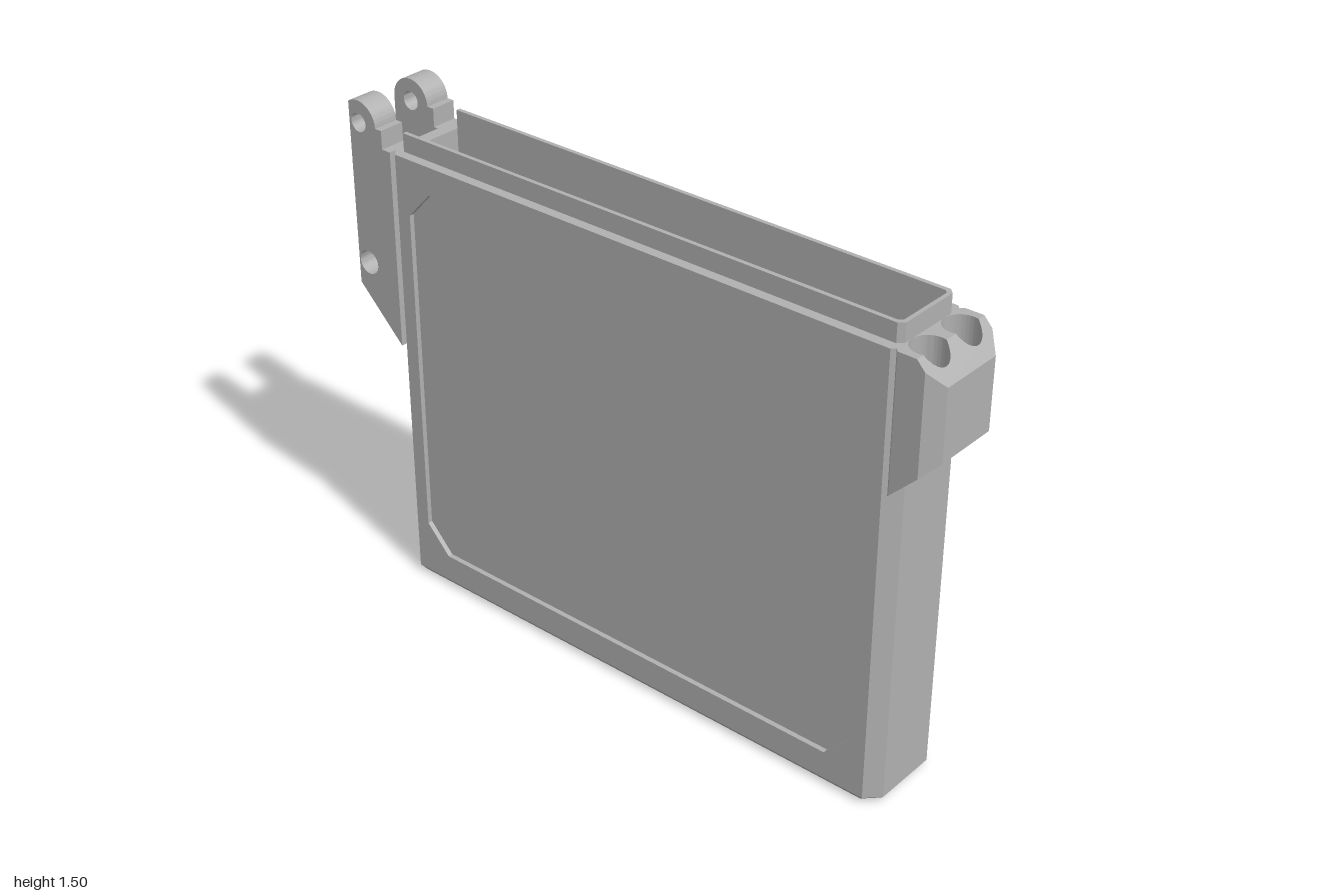
import * as THREE from 'three';
import { toCreasedNormals } from 'three/addons/utils/BufferGeometryUtils.js';

const poly = (pts) => new THREE.Shape(pts.map(([x, y]) => new THREE.Vector2(x, y)));
const circle = (x, y, r) => new THREE.Path().absarc(x, y, r, 0, Math.PI * 2, true);

export function createModel() {
  const group = new THREE.Group();
  const grey = new THREE.MeshStandardMaterial({ color: 0xb0b0b0 });

  function add(name, geo, warp) {
    const p = geo.attributes.position;
    const v = new THREE.Vector3();
    if (warp) {
      for (let i = 0; i < p.count; i++) {
        v.fromBufferAttribute(p, i);
        warp(v);
        p.setXYZ(i, v.x, v.y, v.z);
      }
    }
    const mesh = new THREE.Mesh(toCreasedNormals(geo, 0.5), grey);
    mesh.name = name;
    group.add(mesh);
  }
  const extrude = (shape, depth) =>
    new THREE.ExtrudeGeometry(shape, { depth, bevelEnabled: false, curveSegments: 18 });
  // upright: plan outline (x, z) raised from y0 to y1; slab: front outline from z0 to z1
  const upright = (name, shape, y0, y1, warp) =>
    add(name, extrude(shape, y1 - y0).rotateX(-Math.PI / 2).translate(0, y0, 0), warp);
  const slab = (name, shape, z0, z1, warp) =>
    add(name, extrude(shape, z1 - z0).translate(0, 0, z0), warp);
  // plan outline mirrored across z = 0, given its z > 0 half from left to right
  const mirrored = (half) =>
    poly([...half.map(([x, z]) => [x, -z]), ...half.slice().reverse()]);

  // Base with a chamfered bottom edge; its top is the floor of the cavity
  upright('base', mirrored([[-0.83, 0.1], [-0.795, 0.14], [0.86, 0.14], [0.9, 0.1]]), 0, 0.02, (v) => {
    if (v.y < 0.01) {
      v.x -= Math.sign(v.x) * 0.015;
      v.z -= Math.sign(v.z) * 0.015;
    }
  });

  // Hollow body, shorter at the top where the catch sockets sit
  const lowerWall = mirrored([[-0.83, 0.1], [-0.808, 0.125], [0.875, 0.125], [0.9, 0.1]]);
  const upperWall = mirrored([[-0.83, 0.1], [-0.808, 0.125], [0.868, 0.125]]);
  for (const wall of [lowerWall, upperWall])
    wall.holes.push(mirrored([[-0.79, 0.097], [0.858, 0.097]]));
  upright('lowerBody', lowerWall, 0.02, 1.2);
  upright('upperBody', upperWall, 1.2, 1.38);

  // Raised frames around the recessed panels, the back one turned around
  const panel = [[-0.75, 0.19], [-0.67, 0.105], [0.73, 0.105], [0.81, 0.19], [0.81, 1.16],
    [0.76, 1.21], [0.195, 1.21], [0.11, 1.295], [-0.67, 1.295], [-0.75, 1.21]];
  for (const side of [1, -1]) {
    const frame = poly([[-0.795, 0.02], [0.86, 0.02], [0.86, 1.38], [-0.795, 1.38]]);
    frame.holes.push(poly(side > 0 ? panel : panel.map(([x, y]) => [0.06 - x, y])));
    const z0 = side > 0 ? 0.125 : -0.14;
    slab(side > 0 ? 'frontFrame' : 'backFrame', frame, z0, z0 + 0.015, (v) => {
      if (Math.abs(v.z) > 0.13) return;
      if (v.x < -0.79) v.x = -0.808;
      if (v.x > 0.85) v.x = 0.875;
    });
  }

  // Thin rim around the opening, open at the hinge end
  upright('rim', poly([[-0.79, -0.11], [0.855, -0.11], [0.87, -0.095], [0.87, 0.095], [0.855, 0.11],
    [-0.79, 0.11], [-0.79, 0.097], [0.848, 0.097], [0.858, 0.087], [0.858, -0.087],
    [0.848, -0.097], [-0.79, -0.097]]), 1.38, 1.435);

  // Hinge: two rounded lugs with chamfered outer edges, joined by a lower block
  const lug = poly([[-1, 0.93], [-0.815, 0.775], [-0.815, 1.38], [-0.845, 1.38], [-0.845, 1.435]]);
  lug.absarc(-0.934, 1.435, 0.066, 0, Math.PI, false);
  lug.holes.push(circle(-0.934, 1.435, 0.028), circle(-0.93, 1.005, 0.036));
  const chamfer = (v) => {
    if (Math.abs(v.z) > 0.13) v.x = Math.max(v.x, -0.97);
  };
  slab('frontLug', lug, 0.06, 0.105);
  slab('frontLugEdge', lug, 0.105, 0.14, chamfer);
  slab('backLug', lug, -0.105, -0.06);
  slab('backLugEdge', lug, -0.14, -0.105, chamfer);
  const block = poly([[-1, 0.93], [-0.815, 0.775], [-0.815, 1.23], [-1, 1.23]]);
  block.holes.push(circle(-0.93, 1.005, 0.036));
  slab('hingeBlock', block, -0.06, 0.06);

  // Catch: solid lower part with a sloped underside
  upright('catchLower', mirrored([[0.862, 0.12], [0.88, 0.14], [0.96, 0.14], [1, 0.1]]), 0.98, 1.2, (v) => {
    if (v.y < 1) v.y = 0.98 + (v.x - 0.88);
  });

  // Catch top in two halves, meeting across a pair of round sockets
  const split = 0.935, cx = 0.92, cz = 0.067, r = 0.05;
  const a = Math.acos((split - cx) / r);
  const inner = poly([[0.862, 0.12], [0.862, -0.12], [0.88, -0.14], [split, -0.14]]);
  for (const z of [-cz, cz]) inner.absarc(cx, z, r, -a, a, true);
  inner.lineTo(split, 0.14);
  inner.lineTo(0.88, 0.14);
  upright('catchInner', inner, 1.2, 1.38);

  const outer = poly([[split, -0.14], [0.96, -0.14], [1, -0.1], [1, 0.1], [0.96, 0.14], [split, 0.14]]);
  for (const z of [cz, -cz]) outer.absarc(cx, z, r, a, -a, true);
  upright('catchOuter', outer, 1.2, 1.38, (v) => {
    if (v.y > 1.3) v.y = 1.38 - (v.x - split) * 1.08;
  });

  return group;
}
